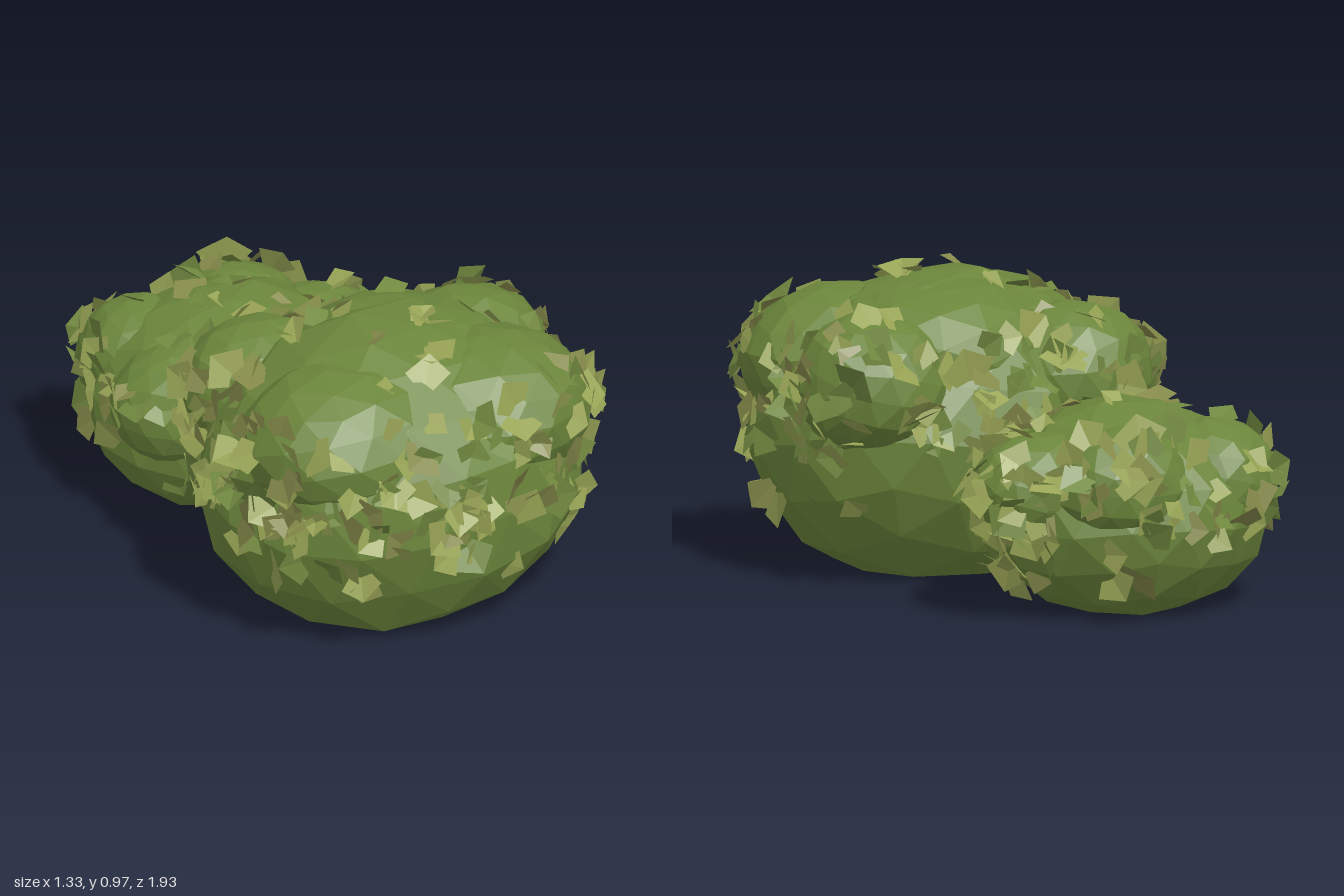
import * as THREE from 'three';
import { mergeGeometries, mergeVertices } from 'three/addons/utils/BufferGeometryUtils.js';

// Seeded random numbers
function makeRandom(seed) {
  return () => {
    seed = (seed * 1664525 + 1013904223) % 4294967296;
    return seed / 4294967296;
  };
}

// Each lobe: centre x, y, z, then radii x, y, z. The first one is the main body.
const BUSHES = [
  {
    name: 'largeBush', leaves: 300, lowest: 0.24, sparseBelow: 0.42,
    lobes: [
      [-0.02, 0.42, 0.37, 0.62, 0.52, 0.53],
      [0.34, 0.63, 0.14, 0.26, 0.23, 0.25],
      [-0.33, 0.62, 0.08, 0.26, 0.23, 0.24],
      [-0.22, 0.63, 0.53, 0.36, 0.25, 0.31],
      [0.24, 0.64, 0.51, 0.35, 0.25, 0.31],
      [0.02, 0.67, 0.3, 0.42, 0.26, 0.38],
    ],
  },
  {
    name: 'smallBush', leaves: 190, lowest: 0.1, sparseBelow: 0.26,
    lobes: [
      [-0.2, 0.3, -0.52, 0.45, 0.355, 0.41],
      [-0.43, 0.41, -0.66, 0.21, 0.19, 0.22],
      [-0.08, 0.42, -0.74, 0.23, 0.19, 0.19],
      [0.12, 0.4, -0.56, 0.23, 0.18, 0.2],
      [-0.42, 0.38, -0.36, 0.23, 0.2, 0.21],
      [-0.2, 0.44, -0.53, 0.33, 0.21, 0.29],
    ],
  },
];

// Faceted, slightly uneven ellipsoid, cut flat at the ground
function lobeGeometry([x, y, z, rx, ry, rz], random) {
  let geo = new THREE.IcosahedronGeometry(1, 2);
  geo.deleteAttribute('normal');
  geo.deleteAttribute('uv');
  geo = mergeVertices(geo, 1e-4);
  geo.rotateX(random() * 3);
  geo.rotateY(random() * 3);
  const pos = geo.attributes.position;
  for (let i = 0; i < pos.count; i++) {
    const s = 0.98 + random() * 0.05;
    pos.setXYZ(i, x + pos.getX(i) * rx * s,
      Math.max(0, y + pos.getY(i) * ry * s), z + pos.getZ(i) * rz * s);
  }
  geo = geo.toNonIndexed();
  geo.computeVertexNormals();
  return geo;
}

function insideLobe(p, [x, y, z, rx, ry, rz]) {
  return ((p.x - x) / rx) ** 2 + ((p.y - y) / ry) ** 2 + ((p.z - z) / rz) ** 2 < 0.96;
}

// Broad folded leaf with its root buried in the foliage
function leafGeometry(p, normal, random) {
  const tangent = new THREE.Vector3(random() - 0.5, random() - 0.5, random() - 0.5)
    .cross(normal).normalize();
  const side = new THREE.Vector3().crossVectors(normal, tangent);
  const along = tangent.clone().addScaledVector(normal, 0.15 + random() * 0.6).normalize();
  const length = 0.09 + random() * 0.06;
  const width = length * (0.4 + random() * 0.25);
  const at = (l, w, n) => p.clone().addScaledVector(along, l * length)
    .addScaledVector(side, w * width).addScaledVector(normal, n);
  const base = at(-0.3, 0, -0.015);
  const left = at(0.25, 1, (random() - 0.5) * 0.04);
  const right = at(0.3, -1, (random() - 0.5) * 0.04);
  const tip = at(0.75, 0, -0.005);
  const geo = new THREE.BufferGeometry().setFromPoints([base, right, tip, base, tip, left]);
  geo.computeVertexNormals();
  return geo;
}

export function createModel() {
  const group = new THREE.Group();
  const material = (name, color, side = THREE.FrontSide) => {
    const m = new THREE.MeshStandardMaterial({ color, flatShading: true, side });
    m.name = name;
    return m;
  };
  const foliage = material('foliageGreen', 0x6b853b);
  const leafMaterials = [
    material('paleLeaf', 0x98a455, THREE.DoubleSide),
    material('oliveLeaf', 0x858a4a, THREE.DoubleSide),
    material('greenLeaf', 0x728a40, THREE.DoubleSide),
  ];
  const allLobes = BUSHES.flatMap((bush) => bush.lobes);

  BUSHES.forEach((bush, b) => {
    const random = makeRandom(17 + b * 101);
    const bushGroup = new THREE.Group();
    bushGroup.name = bush.name;

    // Rounded foliage masses
    bush.lobes.forEach((lobe, i) => {
      const mesh = new THREE.Mesh(lobeGeometry(lobe, random), foliage);
      mesh.name = i === 0 ? 'mainFoliage' : 'foliageLobe' + i;
      bushGroup.add(mesh);
    });

    // Leaves on the exposed surface, thinner on top, near the ground and at the back right
    const leaves = leafMaterials.map(() => []);
    let count = 0;
    for (let tries = 0; count < bush.leaves && tries < 20000; tries++) {
      const lobe = bush.lobes[random() < 0.5 ? 0 : Math.floor(random() * bush.lobes.length)];
      const ny = random() * 2 - 1;
      const angle = random() * Math.PI * 2;
      const ring = Math.sqrt(1 - ny * ny);
      const dir = new THREE.Vector3(ring * Math.cos(angle), ny, ring * Math.sin(angle));
      const radii = new THREE.Vector3(lobe[3], lobe[4], lobe[5]);
      const p = dir.clone().multiply(radii).add(new THREE.Vector3(lobe[0], lobe[1], lobe[2]));
      const normal = dir.clone().divide(radii).normalize();
      const backRight = -normal.x - normal.z > 0.5;
      if (p.y < bush.lowest) continue;
      if (p.y < bush.sparseBelow && random() < (backRight ? 0.9 : 0.5)) continue;
      if (normal.y > 0.65 && random() < 0.8) continue;
      if (b === 1 && p.x < -0.3 && random() < 0.6) continue;
      if (allLobes.some((o) => o !== lobe && insideLobe(p, o))) continue;
      const pick = random();
      leaves[pick < 0.55 ? 0 : pick < 0.72 ? 1 : 2].push(leafGeometry(p, normal, random));
      count++;
    }
    leaves.forEach((list, i) => {
      const mesh = new THREE.Mesh(mergeGeometries(list), leafMaterials[i]);
      mesh.name = leafMaterials[i].name + 'Cluster';
      bushGroup.add(mesh);
    });
    group.add(bushGroup);
  });
  return group;
}
